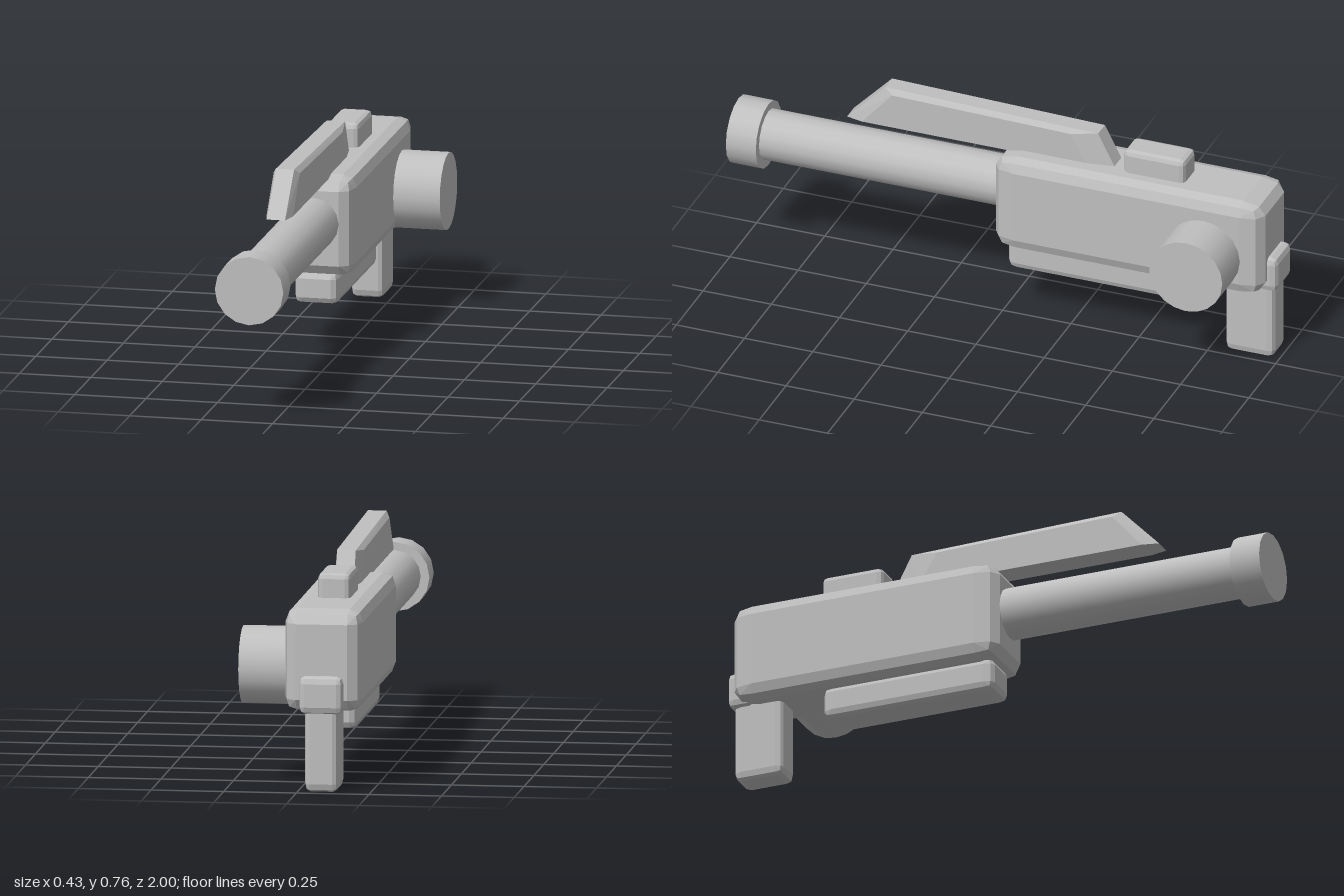
import * as THREE from 'three';
import { ConvexGeometry } from 'three/addons/geometries/ConvexGeometry.js';

const CX = -0.082; // centre plane of the body

export function createModel() {
  const group = new THREE.Group();
  const grey = new THREE.MeshStandardMaterial({ color: 0xbfbfbf });
  grey.name = 'plain grey';

  const add = (name, geometry) => {
    const mesh = new THREE.Mesh(geometry, grey);
    mesh.name = name;
    group.add(mesh);
    return mesh;
  };

  // Box between two corners with two-step bevelled edges, bevel given per axis
  const bevelBox = (name, min, max, bevel) => {
    const s = 0.72, t = 0.6;
    const steps = [[1, 0, 0], [0, 1, 0], [0, 0, 1], [s, s, 0], [s, 0, s], [0, s, s], [t, t, t]];
    const points = [];
    for (let corner = 0; corner < 8; corner++) {
      for (const step of steps) {
        const p = step.map((k, a) => {
          const inset = bevel[a] * (1 - k);
          return (corner >> a) & 1 ? max[a] - inset : min[a] + inset;
        });
        points.push(new THREE.Vector3(...p));
      }
    }
    return add(name, new ConvexGeometry(points));
  };

  // Round part along z
  const roundZ = (name, radius, z0, z1, y) => {
    const g = new THREE.CylinderGeometry(radius, radius, z1 - z0, 16);
    g.rotateX(Math.PI / 2);
    add(name, g).position.set(CX, y, (z0 + z1) / 2);
  };

  // Main housing and the blocks fixed to it
  bevelBox('body', [-0.215, 0.27, -0.965], [0.052, 0.622, 0.022], [0.045, 0.045, 0.08]);
  bevelBox('lowerGuard', [-0.158, 0.168, -0.645], [-0.005, 0.282, -0.012], [0.024, 0.024, 0.035]);
  bevelBox('topBlock', [-0.138, 0.59, -0.655], [-0.026, 0.705, -0.43], [0.018, 0.018, 0.02]);
  bevelBox('grip', [-0.139, 0, -0.982], [-0.025, 0.33, -0.803], [0.018, 0.028, 0.025]);
  bevelBox('gripCollar', [-0.157, 0.27, -1.0], [-0.007, 0.4, -0.9], [0.02, 0.025, 0.025]);

  // Front tube with its end ring
  roundZ('tube', 0.09, -0.02, 0.9, 0.463);
  roundZ('tubeEnd', 0.12, 0.89, 1.0, 0.461);

  // Drum on the left side
  const drum = new THREE.CylinderGeometry(0.134, 0.134, 0.235, 20);
  drum.rotateZ(Math.PI / 2);
  add('sideDrum', drum).position.set(0.0975, 0.405, -0.755);

  // Top rail: full profile at the core, smaller profile on the outer sides
  const core = [[0.59, 0.612], [0.45, 0.757], [-0.33, 0.738], [-0.395, 0.612]];
  const side = [[0.53, 0.612], [0.42, 0.738], [-0.23, 0.724], [-0.3, 0.612]];
  const railPoints = [];
  for (const [profile, half] of [[core, 0.032], [side, 0.046]]) {
    for (const [z, y] of profile) {
      for (const sign of [-1, 1]) railPoints.push(new THREE.Vector3(CX + sign * half, y, z));
    }
  }
  add('topRail', new ConvexGeometry(railPoints));

  return group;
}
